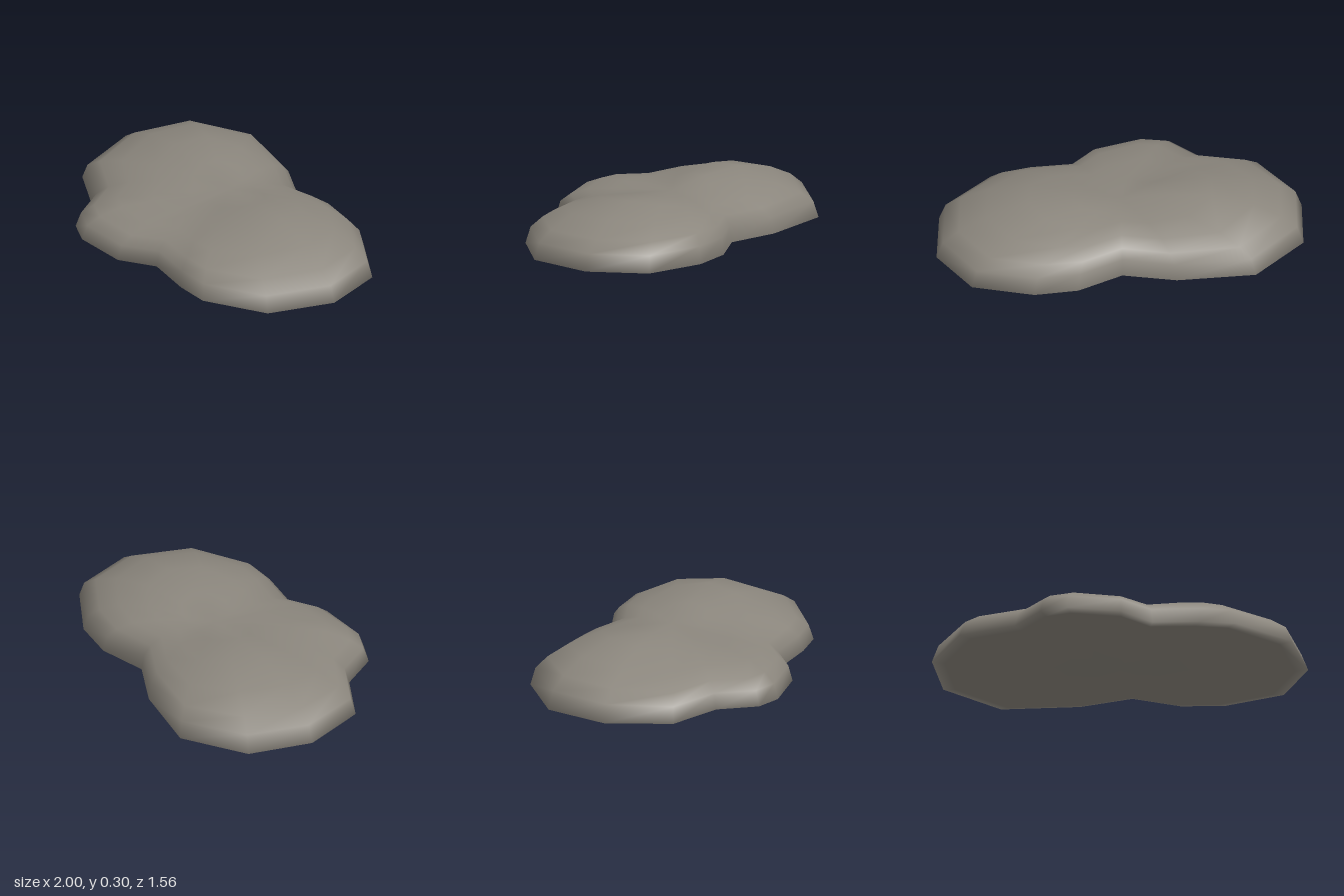
import * as THREE from 'three';
import { mergeVertices } from 'three/addons/utils/BufferGeometryUtils.js';

// Footprint of the lobed rock as [x, z]
const OUTLINE = [
  [-0.8, -0.66], [-0.4, -0.78], [0, -0.58], [0.23, -0.37], [0.52, -0.36], [0.75, -0.26],
  [1, -0.0], [1, 0.36], [0.77, 0.68], [0.39, 0.78], [0.2, 0.73], [-0.05, 0.62],
  [-0.27, 0.69], [-0.57, 0.62], [-0.69, 0.52], [-0.75, 0.28], [-0.99, 0.05], [-1, -0.34],
];

// Soft mounds on the top: x, z, radius, height
const MOUNDS = [
  [-0.28, -0.2, 0.32, 0.085],
  [-0.62, -0.38, 0.4, 0.075],
  [0.45, 0.18, 0.42, 0.12],
  [-0.4, 0.36, 0.22, 0.03],
];

// Rings from the underside to the crown: [footprint scale, share of crown height]
const RINGS = [
  [0, 0], [0.5, 0], [0.93, 0.02], [1, 0.07], [0.965, 0.52],
  [0.88, 0.76], [0.73, 0.94], [0.5, 1], [0.25, 1], [0, 1],
];

function crownHeight(x, z) {
  let y = 0.185;
  for (const [mx, mz, r, h] of MOUNDS) {
    y += h * Math.exp(-((x - mx) ** 2 + (z - mz) ** 2) / (r * r));
  }
  return y;
}

function rockGeometry() {
  const positions = [];
  const index = [];
  const n = OUTLINE.length;
  for (const [scale, share] of RINGS) {
    for (const [ox, oz] of OUTLINE) {
      const x = ox * scale;
      const z = oz * scale;
      positions.push(x, share * crownHeight(x, z), z);
    }
  }
  for (let r = 0; r < RINGS.length - 1; r++) {
    for (let i = 0; i < n; i++) {
      const a = r * n + i;
      const b = r * n + ((i + 1) % n);
      if (RINGS[r][0] > 0) index.push(a, a + n, b);
      if (RINGS[r + 1][0] > 0) index.push(b, a + n, b + n);
    }
  }
  const geometry = new THREE.BufferGeometry();
  geometry.setAttribute('position', new THREE.Float32BufferAttribute(positions, 3));
  geometry.setIndex(index);
  const merged = mergeVertices(geometry, 1e-4);
  merged.computeVertexNormals();
  return merged;
}

export function createModel() {
  const stone = new THREE.MeshStandardMaterial({ color: 0x8b867d });
  stone.name = 'warm grey stone';
  const rock = new THREE.Mesh(rockGeometry(), stone);
  rock.name = 'rock';
  const group = new THREE.Group();
  group.name = 'flatRock';
  group.add(rock);
  return group;
}
